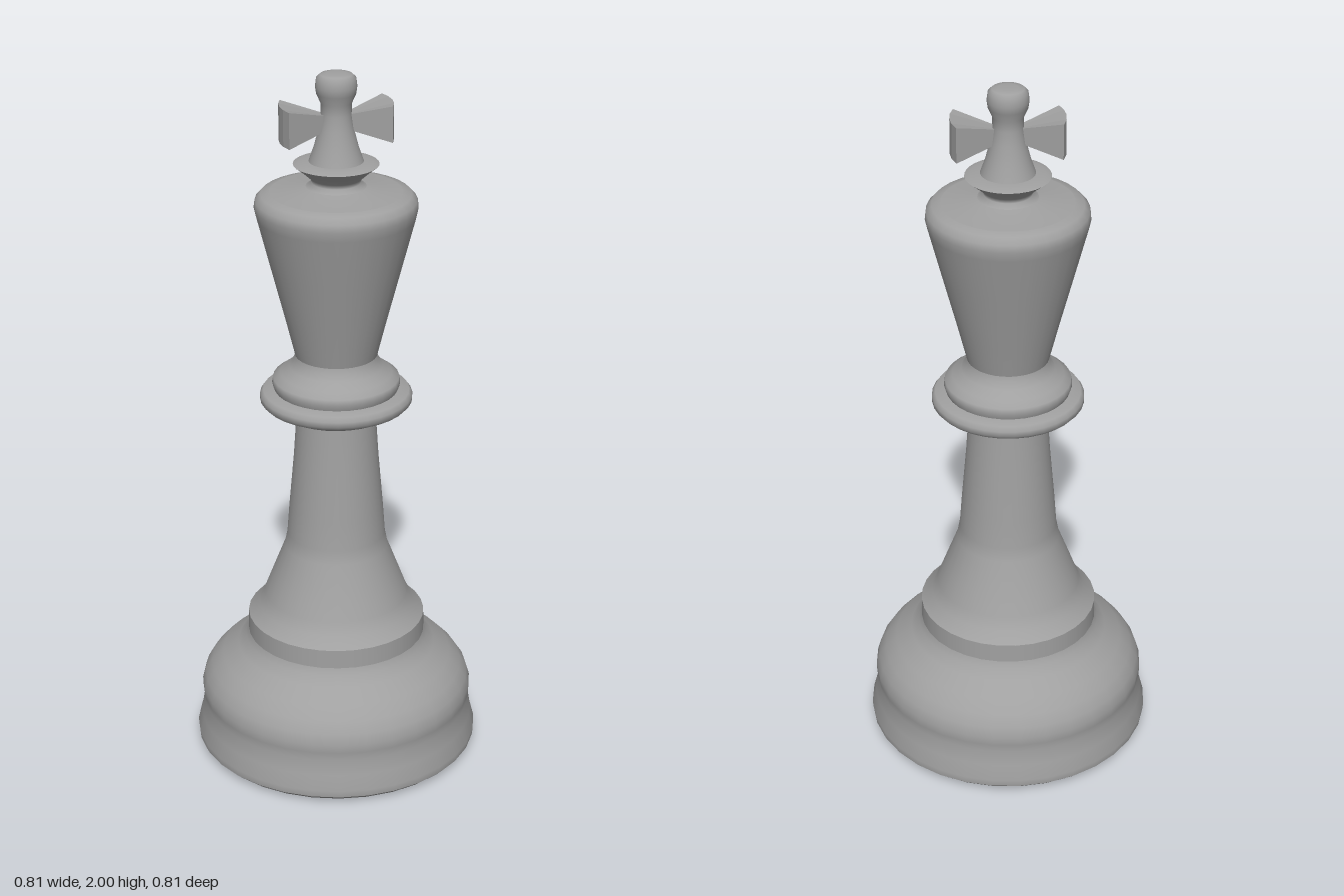
import * as THREE from 'three';

const grey = new THREE.MeshStandardMaterial({ color: 0xa0a0a0, side: THREE.DoubleSide });
grey.name = 'grey';

// Profiles run upwards as [radius, height]; each break between parts is a crisp edge.
const PROFILES = {
  bottomRim: [[0.366, 0], [0.392, 0.008], [0.405, 0.02]],
  foot: [[0.405, 0.02], [0.407, 0.04], [0.395, 0.085], [0.387, 0.13], [0.39, 0.155], [0.391, 0.18],
    [0.382, 0.21], [0.362, 0.24], [0.33, 0.272], [0.285, 0.305], [0.262, 0.33], [0.254, 0.35]],
  footBand: [[0.254, 0.35], [0.253, 0.405]],
  stem: [[0.253, 0.405], [0.222, 0.435], [0.205, 0.47], [0.182, 0.53], [0.147, 0.62], [0.139, 0.66],
    [0.133, 0.74], [0.119, 0.9], [0.111, 1.02]],
  collarUnderside: [[0.111, 1.02], [0.13, 1.03], [0.165, 1.043], [0.202, 1.062]],
  collar: [[0.202, 1.062], [0.212, 1.073], [0.212, 1.088], [0.203, 1.1], [0.172, 1.105]],
  upperCollar: [[0.172, 1.105], [0.178, 1.122], [0.175, 1.138], [0.155, 1.152], [0.13, 1.172],
    [0.118, 1.19], [0.114, 1.205]],
  head: [[0.114, 1.205], [0.14, 1.31], [0.18, 1.465], [0.216, 1.605], [0.222, 1.632], [0.219, 1.653],
    [0.204, 1.669], [0.18, 1.675]],
  headTop: [[0.18, 1.675], [0.12, 1.682], [0.082, 1.69]],
  neck: [[0.082, 1.69], [0.065, 1.70], [0.07, 1.713], [0.092, 1.733], [0.116, 1.752]],
  neckDisc: [[0.116, 1.752], [0.1, 1.758], [0.074, 1.76]],
  finial: [[0.074, 1.76], [0.06, 1.8], [0.047, 1.85], [0.041, 1.89], [0.042, 1.92], [0.053, 1.945],
    [0.056, 1.965], [0.053, 1.988], [0.043, 1.997], [0.025, 2], [0, 2]],
};

// Wedge-shaped cross arm that flares in both width and height towards its tip
function crossArm() {
  const radius = 0.153, half = 0.42;
  const shape = new THREE.Shape();
  shape.moveTo(0, 0);
  for (let i = 0; i <= 4; i++) {
    const a = -half + (i / 4) * 2 * half;
    shape.lineTo(radius * Math.cos(a), radius * Math.sin(a));
  }
  const geo = new THREE.ExtrudeGeometry(shape, { depth: 0.1, bevelEnabled: false });
  geo.translate(0, 0, -0.05).rotateX(-Math.PI / 2);
  const p = geo.attributes.position;
  for (let i = 0; i < p.count; i++) {
    const r = Math.hypot(p.getX(i), p.getZ(i)) / radius;
    p.setY(i, p.getY(i) * (0.25 + 0.75 * r));
  }
  geo.computeVertexNormals();
  return geo;
}

export function createModel() {
  const group = new THREE.Group();
  group.name = 'chessKing';

  // Turned body
  for (const [name, points] of Object.entries(PROFILES)) {
    const geo = new THREE.LatheGeometry(points.map(([r, y]) => new THREE.Vector2(r, y)), 32);
    const mesh = new THREE.Mesh(geo, grey);
    mesh.name = name;
    group.add(mesh);
  }

  // Cross arms
  const armGeo = crossArm();
  ['leftCrossArm', 'rightCrossArm'].forEach((name, i) => {
    const arm = new THREE.Mesh(armGeo, grey);
    arm.name = name;
    arm.position.y = 1.868;
    arm.rotation.y = i * Math.PI;
    group.add(arm);
  });
  return group;
}
